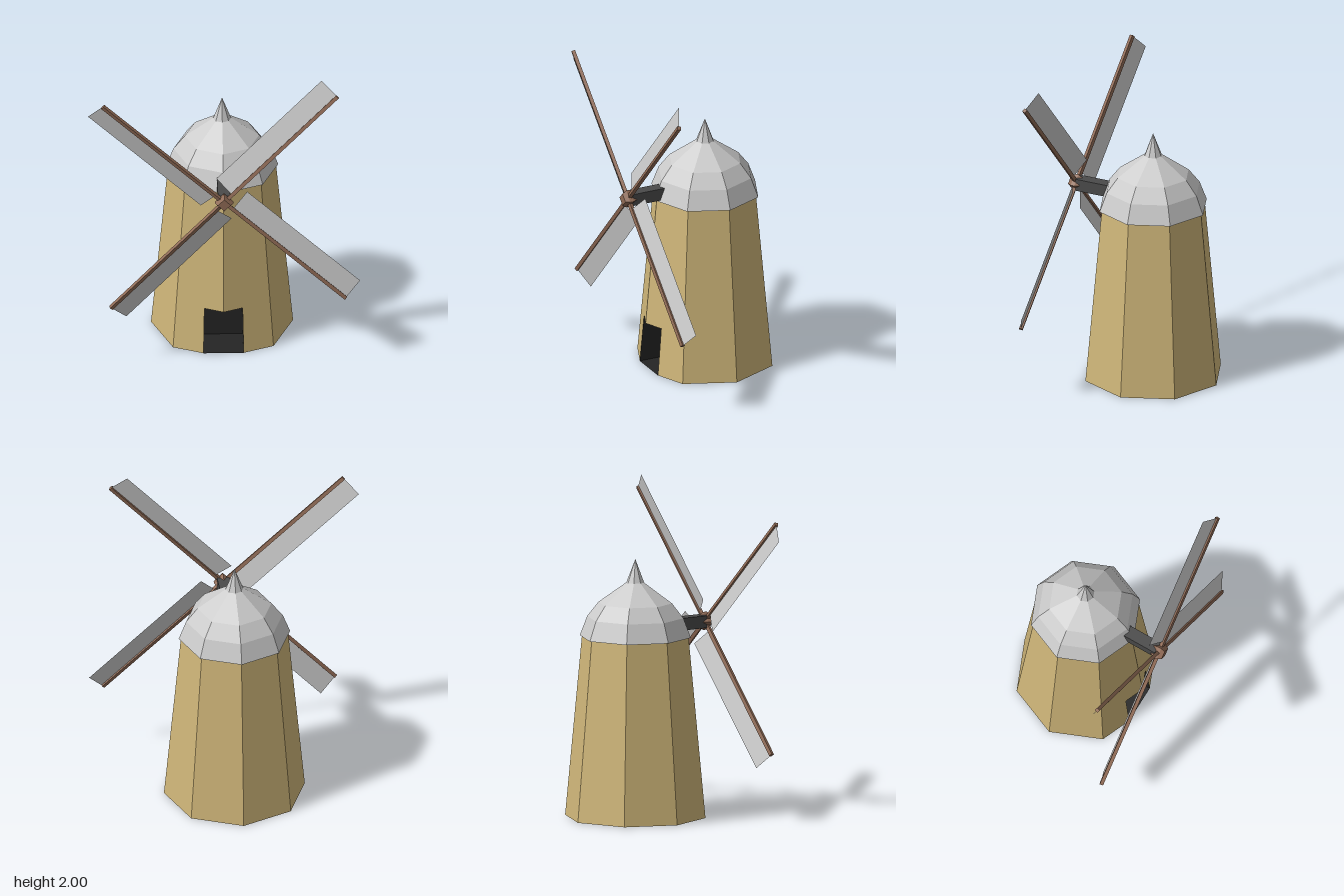
import * as THREE from 'three';

const AXIS_Z = -0.065, BASE_R = 0.435, TOP_R = 0.33, WALL_H = 1.12;
const DOOR = { bottom: 0.123, top: 0.117, height: 0.305, back: 0.09 };
const HUB_Y = 1.163, SAIL_Z = 0.462;
const SLOPE = Math.tan(Math.PI / 8);

const mat = (color, side = THREE.FrontSide) =>
  new THREE.MeshStandardMaterial({ color, side, flatShading: true });
const tan = mat(0xcfb679), grey = mat(0xcccccc), cloth = mat(0xcccccc, THREE.DoubleSide);
const wood = mat(0x8f6a55), shaftGrey = mat(0x4a4a4a), dark = mat(0x242424, THREE.DoubleSide);

function add(parent, name, geometry, material, x = 0, y = 0, z = 0) {
  const mesh = new THREE.Mesh(geometry, material);
  mesh.name = name;
  mesh.position.set(x, y, z);
  parent.add(mesh);
  return mesh;
}

// z of the two front walls, which meet in an edge at x = 0
const wallZ = (x, y) =>
  AXIS_Z + BASE_R + (TOP_R - BASE_R) * y / WALL_H - Math.abs(x) * SLOPE;

// Flat convex polygon from 3D corners
function polygon(corners) {
  const g = new THREE.BufferGeometry().setFromPoints(corners.map(c => new THREE.Vector3(...c)));
  const index = [];
  for (let i = 1; i < corners.length - 1; i++) index.push(0, i, i + 1);
  g.setIndex(index);
  g.computeVertexNormals();
  return g;
}

// One front wall, with half of the doorway cut out of its corner
function frontWall(side) {
  const c = Math.SQRT1_2;
  const outline = [
    [0, DOOR.height], [DOOR.top, DOOR.height], [DOOR.bottom, 0],
    [BASE_R * c, 0], [TOP_R * c, WALL_H], [0, WALL_H],
  ].map(([x, y]) => new THREE.Vector2(side * x, y));
  const g = new THREE.ShapeGeometry(new THREE.Shape(outline));
  const p = g.attributes.position;
  for (let i = 0; i < p.count; i++) p.setZ(i, wallZ(p.getX(i), p.getY(i)));
  g.computeVertexNormals();
  return g;
}

function createTower() {
  const tower = new THREE.Group();
  tower.name = 'tower';

  // Six plain walls of the octagon, then the two with the doorway
  add(tower, 'walls', new THREE.CylinderGeometry(TOP_R, BASE_R, WALL_H, 6, 1, true,
    Math.PI / 4, Math.PI * 1.5), tan, 0, WALL_H / 2, AXIS_Z);
  for (const side of [-1, 1]) add(tower, 'frontWall', frontWall(side), tan);

  // Floor: octagon with its front corner cut off at the threshold
  const { bottom: b, top: t, height: h, back } = DOOR;
  const floor = [[-b, 0, wallZ(b, 0)], [b, 0, wallZ(b, 0)]];
  for (let i = 1; i < 8; i++) {
    const a = i * Math.PI / 4;
    floor.push([BASE_R * Math.sin(a), 0, AXIS_Z + BASE_R * Math.cos(a)]);
  }
  add(tower, 'floor', polygon(floor), dark);

  // Doorway recess
  add(tower, 'doorBack', polygon([[-b, 0, back], [b, 0, back], [t, h, back], [-t, h, back]]), dark);
  add(tower, 'doorCeiling', polygon([[0, h, wallZ(0, h)], [-t, h, wallZ(t, h)], [-t, h, back],
    [t, h, back], [t, h, wallZ(t, h)]]), dark);
  for (const s of [-1, 1]) {
    add(tower, 'doorSide', polygon([[s * b, 0, back], [s * b, 0, wallZ(b, 0)],
      [s * t, h, wallZ(t, h)], [s * t, h, back]]), dark);
  }
  return tower;
}

function createSails() {
  const sails = new THREE.Group();
  sails.name = 'sails';
  sails.position.set(0, HUB_Y, SAIL_Z);

  // Diamond-shaped hub, narrowing to the front and back
  const rings = [[0.04, 0.038], [0.056, 0.012], [0.056, -0.012], [0.04, -0.04]];
  const profile = [[0, -0.04], ...rings.reverse(), [0, 0.038]].map(p => new THREE.Vector2(...p));
  add(sails, 'hub', new THREE.LatheGeometry(profile, 4).rotateX(Math.PI / 2), wood);

  // Four pitched blades: a spar with the cloth along one side
  for (let i = 0; i < 4; i++) {
    const arm = new THREE.Group();
    arm.name = 'sailArm';
    arm.rotation.z = THREE.MathUtils.degToRad(47 + 90 * i);
    const blade = new THREE.Group();
    blade.name = 'blade';
    blade.rotation.x = -0.34;
    add(blade, 'spar', new THREE.BoxGeometry(0.995, 0.023, 0.022), wood, 0.5195);
    add(blade, 'cloth', new THREE.PlaneGeometry(0.945, 0.132), cloth, 0.5445, 0.073, 0);
    arm.add(blade);
    sails.add(arm);
  }
  return sails;
}

export function createModel() {
  const mill = new THREE.Group();
  mill.name = 'windmill';
  mill.add(createTower());

  // Faceted domed cap with a pointed finial
  const cap = [[0, 1.115], [0.344, 1.115], [0.298, 1.235], [0.228, 1.325], [0.055, 1.45], [0, 1.595]];
  add(mill, 'cap', new THREE.LatheGeometry(cap.map(p => new THREE.Vector2(...p)), 8), grey, 0, 0, AXIS_Z);

  // Shaft from the cap to the hub
  add(mill, 'shaft', new THREE.BoxGeometry(0.076, 0.076, 0.3), shaftGrey, 0, HUB_Y, 0.3);
  mill.add(createSails());
  return mill;
}
